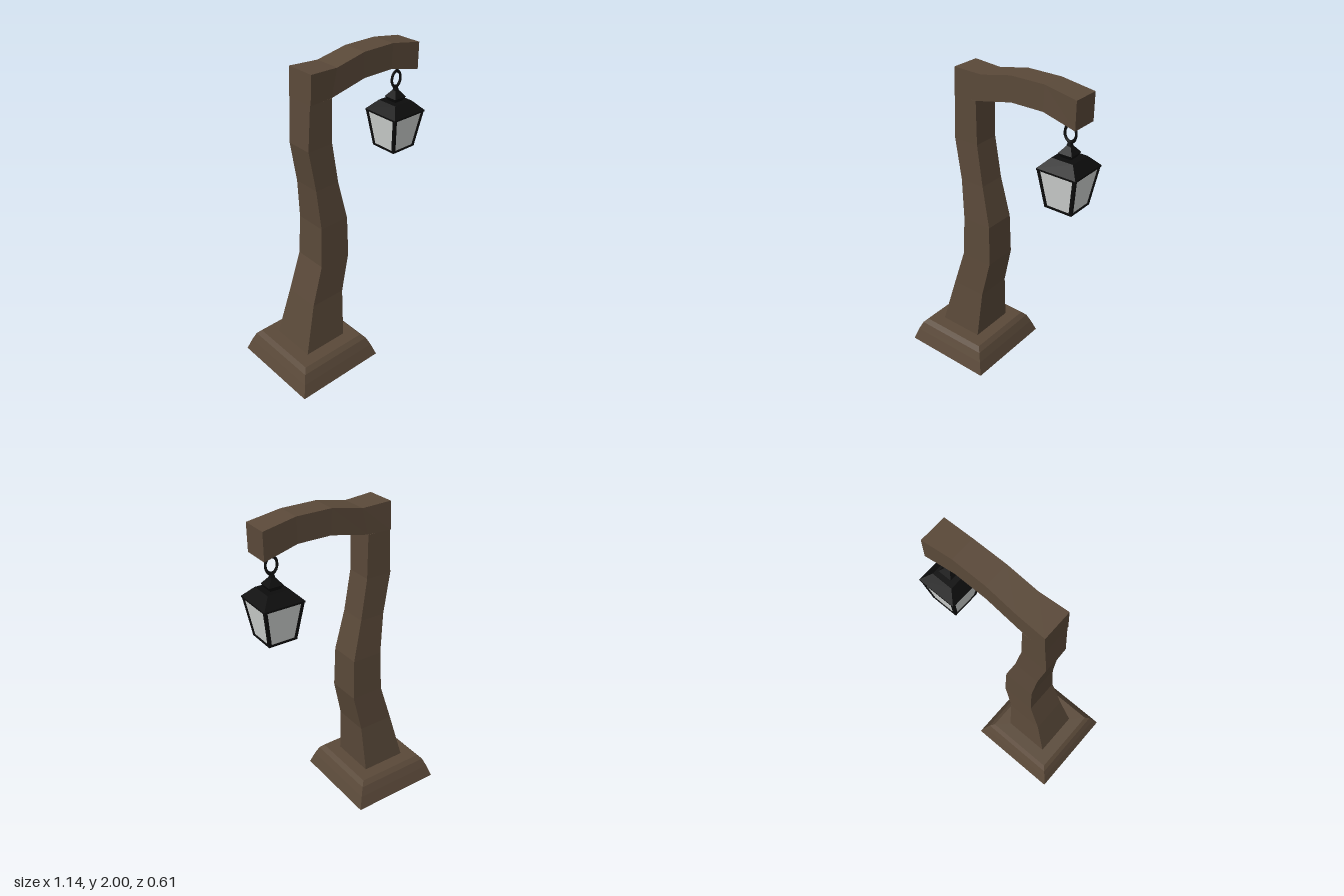
import * as THREE from 'three';

const wood = new THREE.MeshStandardMaterial({ color: 0x5a4939 });
wood.name = 'brownWood';
const iron = new THREE.MeshStandardMaterial({ color: 0x0c0c0c });
iron.name = 'blackIron';
const glass = new THREE.MeshStandardMaterial({ color: 0xd0d3d1 });
glass.name = 'paleGlass';

// Flat-sided solid through four-cornered rings, counter-clockwise seen from the far end
function loft(name, rings, material) {
  const pos = [];
  const quad = (a, b, c, d) => [a, b, c, a, c, d].forEach((p) => pos.push(...p));
  for (let k = 0; k < rings.length - 1; k++) {
    const a = rings[k], b = rings[k + 1];
    for (let i = 0; i < 4; i++) {
      const j = (i + 1) % 4;
      quad(a[i], a[j], b[j], b[i]);
    }
  }
  const s = rings[0], e = rings[rings.length - 1];
  quad(s[3], s[2], s[1], s[0]);
  quad(e[0], e[1], e[2], e[3]);
  const geometry = new THREE.BufferGeometry();
  geometry.setAttribute('position', new THREE.Float32BufferAttribute(pos, 3));
  geometry.computeVertexNormals();
  const mesh = new THREE.Mesh(geometry, material);
  mesh.name = name;
  return mesh;
}

// Level ring: height, left edge, right edge, half depth
const level = (y, x0, x1, hz) => [[x0, y, hz], [x1, y, hz], [x1, y, -hz], [x0, y, -hz]];
// Level square ring around a centre
const square = (y, h, cx = 0, cz = 0) =>
  [[cx - h, y, cz + h], [cx + h, y, cz + h], [cx + h, y, cz - h], [cx - h, y, cz - h]];
// Upright ring: bottom x and y, top x and y, half depth
const upright = (xb, yb, xt, yt, hz) => [[xb, yb, hz], [xb, yb, -hz], [xt, yt, -hz], [xt, yt, hz]];

function createLantern() {
  const lantern = new THREE.Group();
  lantern.name = 'lantern';

  // Hanging ring and its hook
  const ring = new THREE.Mesh(new THREE.TorusGeometry(0.036, 0.008, 6, 20), iron);
  ring.name = 'hangingRing';
  ring.scale.y = 1.35;
  ring.position.y = 1.736;
  const hook = new THREE.Mesh(new THREE.CylinderGeometry(0.007, 0.007, 0.06, 6), iron);
  hook.name = 'hook';
  hook.position.y = 1.812;
  lantern.add(ring, hook);

  // Roof and finial
  lantern.add(loft('roof', [square(1.53, 0.127), square(1.541, 0.127), square(1.6, 0.07)], iron));
  lantern.add(loft('finial',
    [square(1.595, 0.03), square(1.625, 0.045), square(1.665, 0.014), square(1.69, 0.008)], iron));

  // Tapered glass body
  lantern.add(loft('glassPanes', [square(1.305, 0.085), square(1.535, 0.119)], glass));

  // Corner bars and floor
  for (const sx of [-1, 1]) for (const sz of [-1, 1]) {
    lantern.add(loft('cornerBar', [
      square(1.3, 0.009, sx * 0.081, sz * 0.081),
      square(1.535, 0.009, sx * 0.116, sz * 0.116),
    ], iron));
  }
  lantern.add(loft('lanternFloor', [square(1.298, 0.09), square(1.311, 0.092)], iron));

  lantern.position.set(0.44, 0, -0.004);
  return lantern;
}

export function createModel() {
  const model = new THREE.Group();
  model.name = 'lampPost';

  // Bevelled plinth
  model.add(loft('base', [
    square(0, 0.305, -0.265),
    square(0.08, 0.278, -0.265),
    square(0.135, 0.255, -0.265),
    square(0.163, 0.23, -0.265),
  ], wood));

  // Crooked post
  model.add(loft('post', [
    level(0.16, -0.415, -0.115, 0.15),
    level(0.49, -0.33, -0.095, 0.117),
    level(0.745, -0.252, -0.037, 0.108),
    level(1.01, -0.242, -0.042, 0.101),
    level(1.27, -0.265, -0.1, 0.087),
    level(1.53, -0.31, -0.14, 0.083),
    level(1.8, -0.294, -0.14, 0.086),
  ], wood));

  // Bowed arm
  model.add(loft('arm', [
    upright(-0.294, 1.8, -0.286, 1.97, 0.092),
    upright(-0.14, 1.8, -0.1, 1.961, 0.082),
    upright(0.105, 1.85, 0.1, 2, 0.078),
    upright(0.315, 1.85, 0.32, 2, 0.077),
    upright(0.525, 1.8, 0.525, 1.965, 0.086),
  ], wood));

  model.add(createLantern());
  return model;
}
